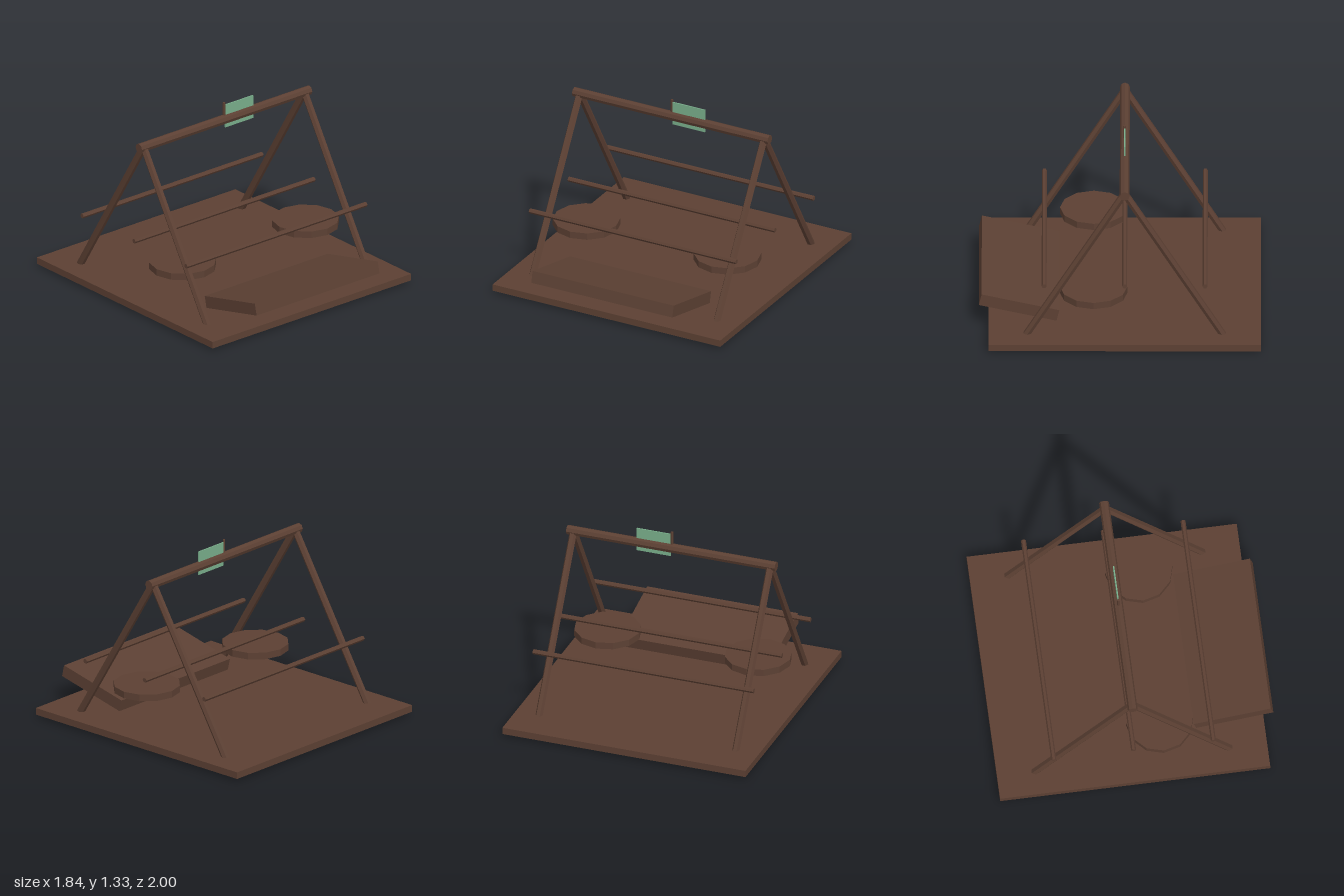
import * as THREE from 'three';

export function createModel() {
  const group = new THREE.Group();
  const wood = new THREE.MeshStandardMaterial({ color: 0x5c4033 });
  wood.name = 'dark wood';
  const cloth = new THREE.MeshStandardMaterial({ color: 0x78ad8a });
  cloth.name = 'green cloth';
  wood.flatShading = true;

  const add = (name, geometry, x, y, z, material = wood) => {
    const mesh = new THREE.Mesh(geometry, material);
    mesh.name = name;
    mesh.position.set(x, y, z);
    group.add(mesh);
    return mesh;
  };

  // Straight faceted pole between two points
  const up = new THREE.Vector3(0, 1, 0);
  const pole = (name, from, to, radius, sides, turn = 0) => {
    const a = new THREE.Vector3(...from), b = new THREE.Vector3(...to);
    const axis = b.clone().sub(a);
    const geometry = new THREE.CylinderGeometry(radius, radius, axis.length(), sides);
    geometry.rotateY(turn);
    const mid = a.add(b).multiplyScalar(0.5);
    const mesh = add(name, geometry, mid.x, mid.y, mid.z);
    mesh.quaternion.setFromUnitVectors(up, axis.normalize());
  };

  const ridgeZ = -0.035;

  // Ground board
  add('baseBoard', new THREE.BoxGeometry(1.84, 0.05, 1.93), 0, 0.045, ridgeZ);

  // A-frame legs and the round seats beside them
  for (const side of [-1, 1]) {
    const label = side > 0 ? 'left' : 'right';
    for (const end of [-1, 1]) {
      pole(label + (end > 0 ? 'FrontLeg' : 'BackLeg'),
        [side * 0.745, 0.013, ridgeZ + end * 0.725], [side * 0.745, 1.205, ridgeZ], 0.027, 6, Math.PI / 6);
    }
    add(label + 'Seat', new THREE.CylinderGeometry(0.24, 0.24, 0.05, 12), side * 0.57, 0.325, 0.185);
  }

  // Ridge pole and three cross rails
  pole('ridgePole', [-0.79, 1.205, ridgeZ], [0.79, 1.205, ridgeZ], 0.035, 8);
  for (const offset of [-0.57, 0, 0.57]) {
    pole('crossRail', [-0.835, 0.5, ridgeZ + offset], [0.835, 0.5, ridgeZ + offset], 0.018, 6);
  }

  // Tilted entry ramp
  const ramp = add('ramp', new THREE.BoxGeometry(1.14, 0.088, 0.565), 0, 0.177, 0.713);
  ramp.rotation.x = -0.227;

  // Flag on the ridge
  pole('flagPole', [0, 1.2, ridgeZ], [0, 1.335, ridgeZ], 0.009, 6);
  add('flag', new THREE.BoxGeometry(0.26, 0.175, 0.009), 0.138, 1.228, ridgeZ, cloth);

  return group;
}
